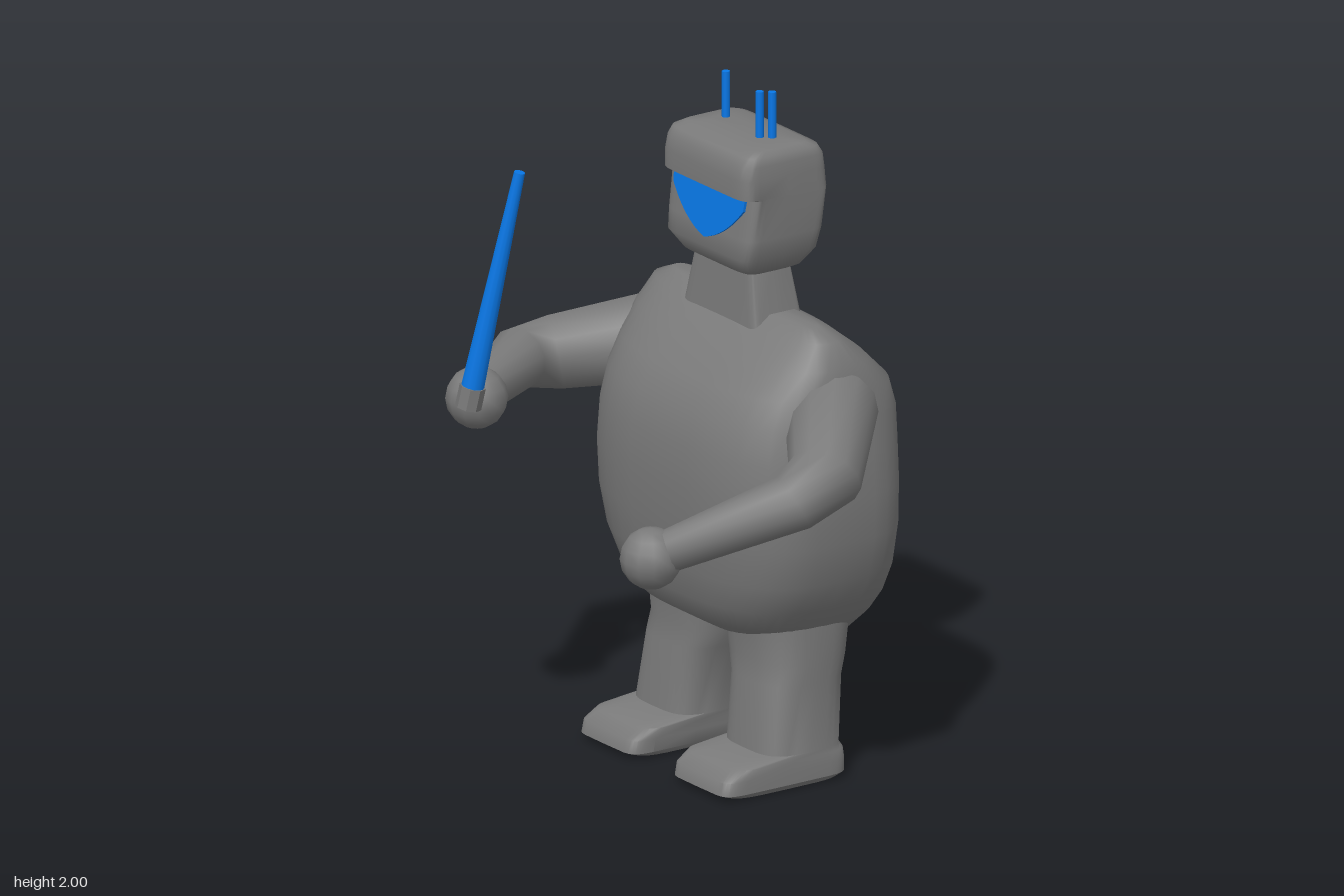
import * as THREE from 'three';
import { toCreasedNormals } from 'three/addons/utils/BufferGeometryUtils.js';

const grey = new THREE.MeshStandardMaterial({ color: 0x7a7a7a });
grey.name = 'stone grey';
const blue = new THREE.MeshStandardMaterial({ color: 0x0a82fa });
blue.name = 'bright blue';

const V = (x, y, z) => new THREE.Vector3(x, y, z);

// Closed skin over equal-length rings of points, capped at both ends
function skin(rings) {
  const n = rings[0].length, pos = [], idx = [];
  rings.forEach(r => r.forEach(p => pos.push(p.x, p.y, p.z)));
  for (let i = 0; i < rings.length - 1; i++) {
    for (let j = 0; j < n; j++) {
      const a = i * n + j, b = i * n + (j + 1) % n;
      idx.push(a, a + n, b, b, a + n, b + n);
    }
  }
  [0, rings.length - 1].forEach((i, end) => {
    const c = rings[i].reduce((s, p) => s.add(p), V(0, 0, 0)).divideScalar(n);
    const k = pos.length / 3;
    pos.push(c.x, c.y, c.z);
    for (let j = 0; j < n; j++) {
      const a = i * n + j, b = i * n + (j + 1) % n;
      if (end) idx.push(a, k, b); else idx.push(a, b, k);
    }
  });
  const g = new THREE.BufferGeometry();
  g.setAttribute('position', new THREE.Float32BufferAttribute(pos, 3));
  g.setIndex(idx);
  g.computeVertexNormals();
  return g;
}

// Upright loft; each row is [y, centre x, half width, back z, front z, squareness, back squareness]
function loft(rows, sides = 32) {
  return skin(rows.map(([y, cx, hx, z0, z1, n, nBack = n]) => Array.from({ length: sides }, (_, j) => {
    const t = (j / sides) * Math.PI * 2, c = Math.cos(t), s = Math.sin(t);
    const f = v => Math.sign(v) * Math.pow(Math.abs(v), 2 / (s < 0 ? nBack : n));
    return V(cx + hx * f(c), y, (z0 + z1) / 2 + (z1 - z0) / 2 * f(s));
  })));
}

// Bent limb through points in one plane, with mitred joints
function limb(points, radii, sides = 12) {
  const dirs = points.slice(1).map((p, i) => p.clone().sub(points[i]).normalize());
  const v = dirs[0].clone().cross(dirs[dirs.length - 1]).normalize();
  return skin(points.map((p, i) => {
    const before = dirs[Math.max(i - 1, 0)], after = dirs[Math.min(i, dirs.length - 1)];
    const t = before.clone().add(after).normalize();
    const u = t.clone().cross(v).normalize();
    const stretch = 1 / t.dot(after);
    return Array.from({ length: sides }, (_, j) => {
      const k = (j / sides) * Math.PI * 2;
      return p.clone().addScaledVector(u, Math.cos(k) * radii[i] * stretch)
        .addScaledVector(v, Math.sin(k) * radii[i]);
    });
  }));
}

// Tapered rod between two points
function rod(a, b, ra, rb, sides) {
  const d = b.clone().sub(a);
  const g = new THREE.CylinderGeometry(rb, ra, d.length(), sides);
  g.applyQuaternion(new THREE.Quaternion().setFromUnitVectors(V(0, 1, 0), d.normalize()));
  return g.translate((a.x + b.x) / 2, (a.y + b.y) / 2, (a.z + b.z) / 2);
}

export function createModel() {
  const model = new THREE.Group();
  const add = (name, geometry, material = grey) => {
    const m = new THREE.Mesh(geometry, material);
    m.name = name;
    model.add(m);
    return m;
  };

  // Barrel torso with a shallow hollow in the back
  const torso = loft([
    [0.36, 0, 0.20, -0.44, -0.22, 2.4], [0.41, 0, 0.29, -0.50, -0.12, 2.5, 2.7],
    [0.47, 0, 0.355, -0.54, -0.02, 2.7, 3], [0.54, 0, 0.41, -0.55, 0.015, 2.8, 3.3],
    [0.63, 0, 0.455, -0.55, 0.035, 2.9, 3.6], [0.75, 0, 0.48, -0.55, 0.05, 2.9, 3.8],
    [0.88, 0, 0.485, -0.55, 0.055, 2.9, 3.8], [1.0, 0, 0.475, -0.55, 0.05, 2.9, 3.8],
    [1.1, 0, 0.465, -0.55, 0.025, 2.9, 3.7], [1.18, 0, 0.46, -0.53, -0.02, 2.8, 3.4],
    [1.26, 0, 0.45, -0.45, -0.09, 2.7, 3], [1.33, 0, 0.41, -0.36, -0.16, 2.7],
    [1.36, 0, 0.34, -0.30, -0.21, 2.7],
  ], 40);
  const p = torso.attributes.position;
  for (let i = 0; i < p.count; i++) {
    if (p.getZ(i) > -0.4) continue;
    const dx = p.getX(i) / 0.2, dy = (p.getY(i) - 0.85) / 0.2;
    p.setZ(i, p.getZ(i) + 0.06 * Math.exp(-dx * dx - dy * dy));
  }
  torso.computeVertexNormals();
  add('torso', torso);

  // Neck
  add('neck', toCreasedNormals(loft([
    [1.32, 0.005, 0.18, -0.33, -0.155, 12], [1.5, 0.005, 0.14, -0.31, -0.17, 12],
  ]), 0.6));

  // Head with an overhanging brow above the recessed visor
  add('head', toCreasedNormals(loft([
    [1.465, 0.005, 0.12, -0.31, -0.18, 5], [1.49, 0.005, 0.17, -0.34, -0.135, 7],
    [1.54, 0.005, 0.203, -0.37, -0.105, 9], [1.6, 0.005, 0.21, -0.385, -0.113, 9],
    [1.72, 0.005, 0.213, -0.4, -0.128, 9], [1.724, 0.005, 0.213, -0.4, -0.1, 9],
    [1.78, 0.005, 0.212, -0.395, -0.1, 9], [1.82, 0.005, 0.209, -0.39, -0.107, 9],
    [1.845, 0.005, 0.203, -0.375, -0.122, 9], [1.857, 0.005, 0.185, -0.345, -0.155, 8],
    [1.864, 0.005, 0.13, -0.29, -0.21, 6],
  ], 40), 0.9));
  const visor = new THREE.Shape();
  visor.moveTo(-0.165, 0.158);
  visor.lineTo(0.182, 0.158);
  visor.lineTo(0.178, 0.118);
  visor.quadraticCurveTo(0.10, 0.023, 0.008, 0);
  visor.quadraticCurveTo(-0.09, 0.023, -0.162, 0.118);
  const plate = add('visor', new THREE.ExtrudeGeometry(visor, { depth: 0.009, bevelEnabled: false }), blue);
  plate.position.set(0, 1.567, -0.112);
  plate.rotation.x = -0.13;

  // Antennae
  [[-0.105, -0.26], [0.095, -0.235], [0.118, -0.262]].forEach(([x, z]) =>
    add('antenna', rod(V(x, 1.84, z), V(x, 2, z), 0.012, 0.012, 8), blue));

  // Legs with forward feet
  [-1, 1].forEach(s => add(s > 0 ? 'leftLeg' : 'rightLeg', toCreasedNormals(loft([
    [0.004, s * 0.228, 0.125, -0.35, 0.04, 5], [0.022, s * 0.228, 0.142, -0.355, 0.076, 8],
    [0.06, s * 0.227, 0.142, -0.357, 0.068, 8], [0.09, s * 0.224, 0.142, -0.36, 0.03, 6],
    [0.104, s * 0.222, 0.142, -0.36, -0.09, 3.5], [0.3, s * 0.208, 0.143, -0.385, -0.11, 3],
    [0.36, s * 0.19, 0.163, -0.405, -0.12, 2.8], [0.5, s * 0.185, 0.165, -0.43, -0.1, 2.8],
  ]), 0.75)));

  // Arms with blunt elbows, and hands
  const leftHand = V(0.355, 0.79, 0.325), rightHand = V(-0.335, 1.1, 0.44);
  add('leftArm', limb([V(0.38, 1.13, -0.28), V(0.61, 1.02, -0.095), V(0.62, 0.97, 0.02), leftHand],
    [0.135, 0.105, 0.085, 0.058]));
  add('rightArm', limb([V(-0.37, 1.14, -0.27), V(-0.61, 1.065, -0.025), V(-0.63, 1.065, 0.085), rightHand],
    [0.135, 0.108, 0.088, 0.058]));
  [['leftHand', leftHand], ['rightHand', rightHand]].forEach(([name, at]) =>
    add(name, new THREE.SphereGeometry(0.09, 12, 8)).position.copy(at));

  // Glowing blade and its grip
  const base = V(-0.278, 1.1, 0.51), tip = V(-0.175, 1.81, 0.405);
  add('grip', toCreasedNormals(rod(base, base.clone().lerp(tip, 0.09), 0.038, 0.038, 8), 0.6));
  add('blade', rod(base.clone().lerp(tip, 0.05), tip, 0.034, 0.016, 12), blue);

  return model;
}
